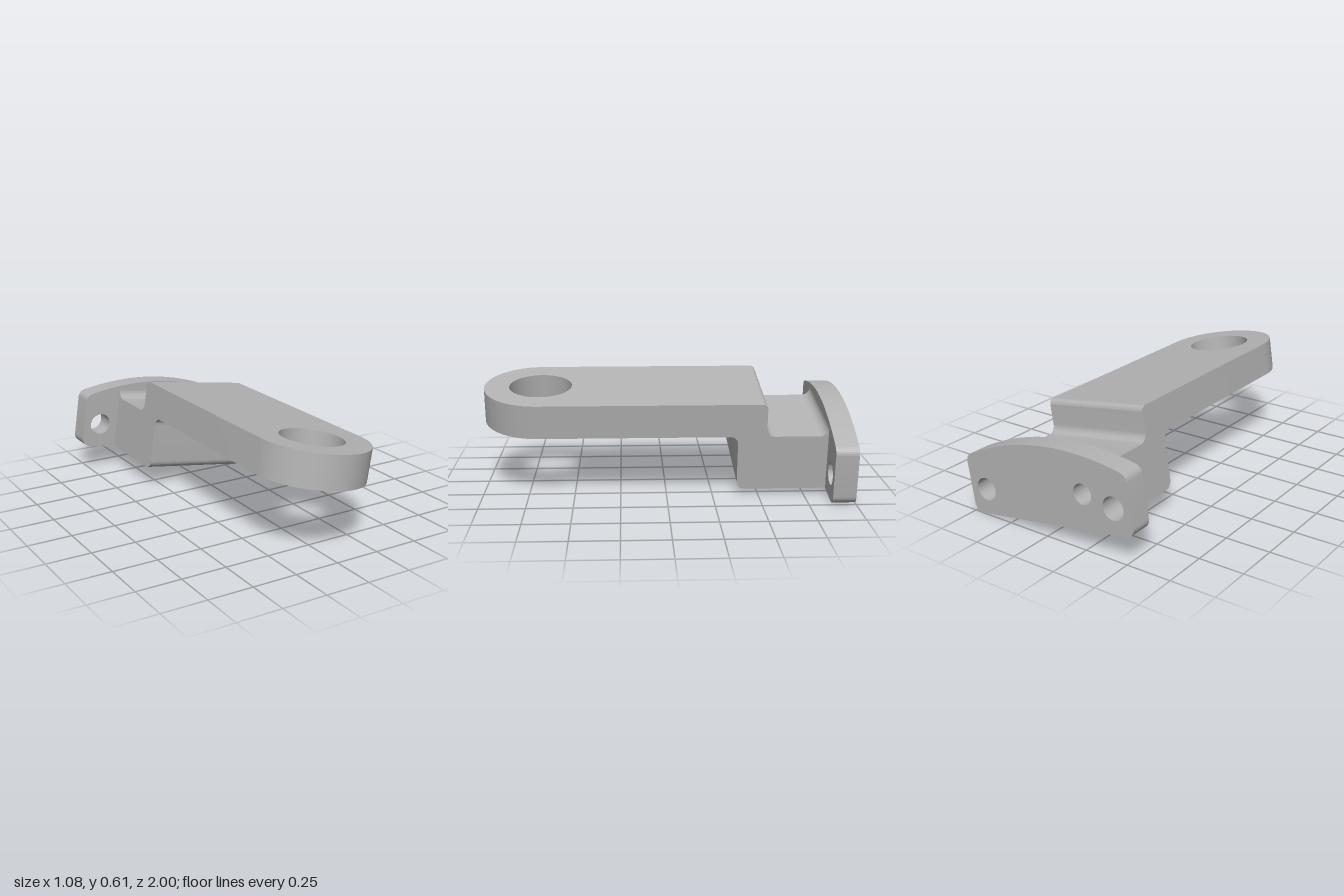
import * as THREE from 'three';
import { toCreasedNormals } from 'three/addons/utils/BufferGeometryUtils.js';

// Closed shape from corners [x, y, radius], with true tangent arcs
function roundedShape(corners) {
  const shape = new THREE.Shape();
  const n = corners.length;
  corners.forEach(([x, y, r = 0], i) => {
    const p = new THREE.Vector2(x, y);
    const a = new THREE.Vector2(...corners[(i + n - 1) % n].slice(0, 2)).sub(p).normalize();
    const b = new THREE.Vector2(...corners[(i + 1) % n].slice(0, 2)).sub(p).normalize();
    if (!r) {
      if (i === 0) shape.moveTo(x, y);
      else shape.lineTo(x, y);
      return;
    }
    const half = Math.acos(THREE.MathUtils.clamp(a.dot(b), -1, 1)) / 2;
    const t = r / Math.tan(half);
    const c = a.clone().add(b).normalize().multiplyScalar(r / Math.sin(half)).add(p);
    const s = a.clone().multiplyScalar(t).add(p);
    const e = b.clone().multiplyScalar(t).add(p);
    if (i === 0) shape.moveTo(s.x, s.y);
    else shape.lineTo(s.x, s.y);
    shape.absarc(c.x, c.y, r, Math.atan2(s.y - c.y, s.x - c.x),
      Math.atan2(e.y - c.y, e.x - c.x), a.cross(b) > 0);
  });
  shape.closePath();
  return shape;
}

function addHole(shape, x, y, r) {
  shape.holes.push(new THREE.Path().absarc(x, y, r, 0, Math.PI * 2, true));
}

function extrude(shape, depth) {
  return new THREE.ExtrudeGeometry(shape, { depth, bevelEnabled: false, curveSegments: 24 });
}

export function createModel() {
  const steel = new THREE.MeshStandardMaterial({ color: 0xb3b3b3 });
  steel.name = 'grey steel';

  const bracket = new THREE.Group();
  bracket.name = 'bracket';
  const add = (name, geometry) => {
    const mesh = new THREE.Mesh(toCreasedNormals(geometry, 0.4), steel);
    mesh.name = name;
    bracket.add(mesh);
  };

  const W = 0.311;              // half width of arm and block
  const low = 0.309, top = 0.495; // underside and top of the arm
  const plateFront = -0.875;

  // Front of the arm: rounded end with a large eye
  const arm = new THREE.Shape();
  arm.moveTo(-W, 0);
  arm.lineTo(W, 0);
  arm.lineTo(W, 1 - W);
  arm.absarc(0, 1 - W, W, 0, Math.PI, false);
  arm.lineTo(-W, 0);
  addHole(arm, 0, 1 - W, 0.173);
  add('armEye', extrude(arm, top - low).rotateX(Math.PI / 2).translate(0, top, 0));

  // Back of the arm stepping down to the block, as a side profile (z, y)
  const step = roundedShape([
    [0, top], [-0.54, top, 0.03], [-0.54, low, 0.045],
    [plateFront, low, 0.05], [plateFront, low + 0.052],
    [plateFront - 0.001, low + 0.052], [plateFront - 0.001, 0],
    [-0.385, 0, 0.045], [-0.385, low, 0.04], [0, low],
  ]);
  add('steppedBlock', extrude(step, 2 * W).rotateY(-Math.PI / 2).translate(W, 0, 0));

  // Mounting plate with a bowed top edge, two through holes and one blind hole
  const P = 0.527;
  const outline = [[-P, 0, 0.05], [P, 0, 0.05]];
  for (let i = 0; i <= 24; i++) {
    const x = P - (2 * P * i) / 24;
    outline.push([x, 0.418 - (x * x) / 2.8, i % 24 === 0 ? 0.05 : 0]);
  }
  const plate = roundedShape(outline);
  for (const s of [-1, 1]) addHole(plate, s * 0.421, 0.14, 0.063);
  addHole(plate, -0.24, 0.192, 0.056);
  add('mountingPlate', extrude(plate, 0.125).translate(0, 0, -1));

  // The whole bracket is rolled about its long axis
  bracket.rotation.z = THREE.MathUtils.degToRad(-9);
  bracket.position.set(-0.0275, 0.076, 0);

  const model = new THREE.Group();
  model.name = 'offsetBracket';
  model.add(bracket);
  return model;
}
